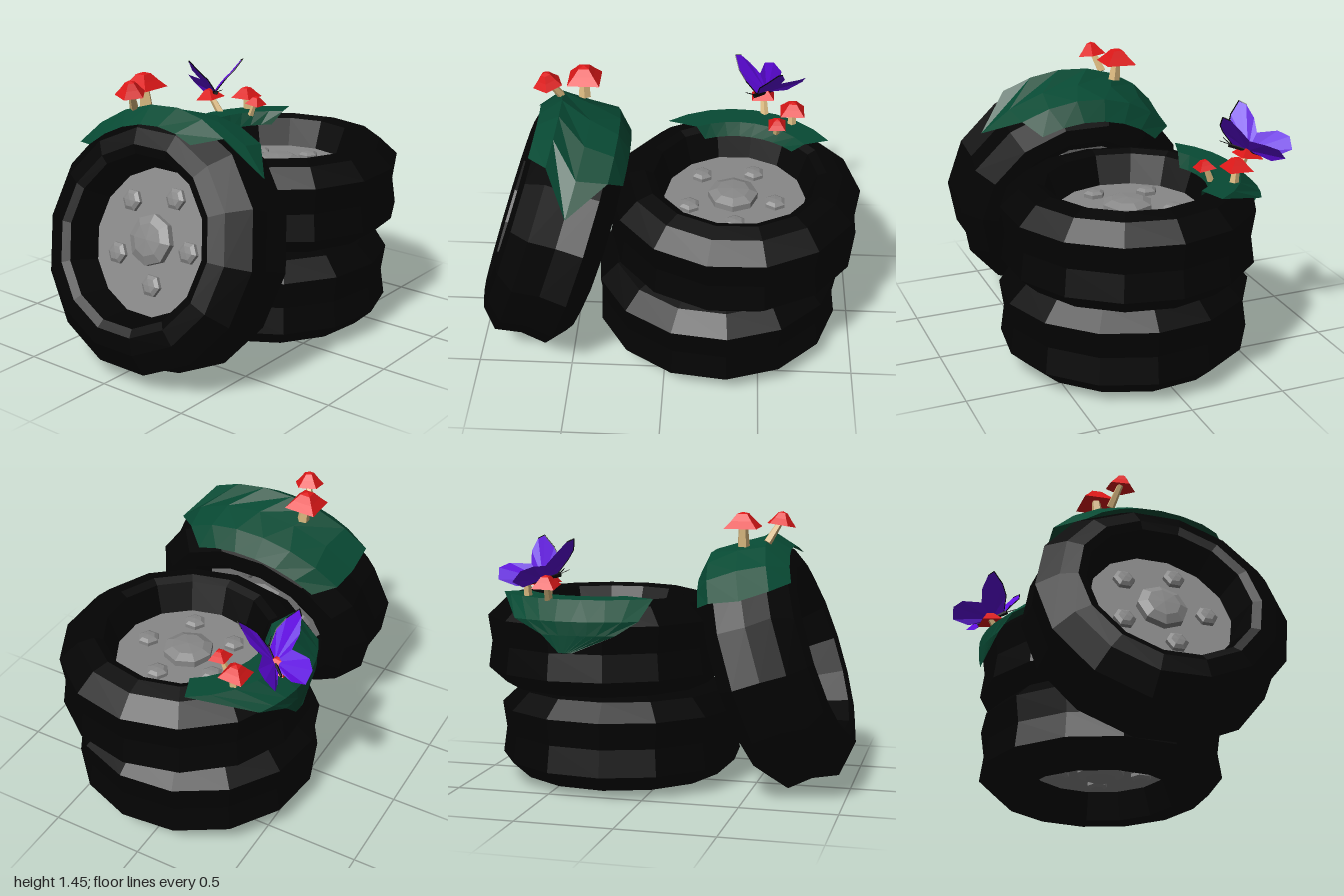
import * as THREE from 'three';

const mat = (name, color, side = THREE.FrontSide) =>
  new THREE.MeshStandardMaterial({ name, color, flatShading: true, side });
const rad = THREE.MathUtils.degToRad;
const V = (x, y, z) => new THREE.Vector3(x, y, z);

export function createModel() {
  const rubber = mat('rubber black', 0x030303);
  const metal = mat('rim grey', 0x888888);
  const moss = mat('moss green', 0x084a34, THREE.DoubleSide);
  const red = mat('cap red', 0xde1818, THREE.DoubleSide);
  const cream = mat('stem cream', 0xdcba80);
  const purple = mat('wing purple', 0x5f09de, THREE.DoubleSide);

  const root = new THREE.Group();
  root.name = 'tyrePile';

  function add(parent, name, geometry, material) {
    const m = new THREE.Mesh(geometry, material);
    m.name = name;
    parent.add(m);
    return m;
  }
  // Tapered rod between two points
  function rod(parent, name, a, b, ra, rb, sides, material) {
    const d = b.clone().sub(a);
    const m = add(parent, name, new THREE.CylinderGeometry(rb, ra, d.length(), sides), material);
    m.position.copy(a).addScaledVector(d, 0.5);
    m.quaternion.setFromUnitVectors(V(0, 1, 0), d.normalize());
  }

  // Tyre with a recessed rim, and a hub and five bolts on each face; its axle is local y
  const half = [[0.632, 0], [0.652, 0.14], [0.555, 0.23], [0.47, 0.252], [0.425, 0.235], [0.365, 0.07]];
  const section = [
    ...half.slice(1).reverse().map(([r, h]) => new THREE.Vector2(r, -h)),
    ...half.map(([r, h]) => new THREE.Vector2(r, h)),
  ];
  function tyre(name, x, y, z, turn) {
    const g = new THREE.Group();
    g.name = name;
    g.position.set(x, y, z);
    add(g, 'tyre', new THREE.LatheGeometry(section, 14), rubber).rotation.y = turn;
    add(g, 'rim', new THREE.CylinderGeometry(0.38, 0.38, 0.17, 14), metal).rotation.y = turn;
    for (const s of [1, -1]) {
      const face = new THREE.Group();
      face.name = 'rimFace';
      if (s < 0) face.rotation.x = Math.PI;
      g.add(face);
      // Domed nut: a short drum with a bevelled top
      const nut = (label, r, h, sides, px, pz) => {
        const pts = [[r, 0], [r, h * 0.55], [r * 0.65, h * 0.9], [0, h]].map(p => new THREE.Vector2(...p));
        add(face, label, new THREE.LatheGeometry(pts, sides), metal).position.set(px, 0.085, pz);
      };
      nut('hub', 0.13, 0.06, 8, -0.01, 0);
      for (let i = 0; i < 5; i++) {
        const a = i * Math.PI * 0.4 + 0.1;
        nut('bolt', 0.057, 0.035, 6, 0.235 * Math.sin(a) - 0.02, s * 0.235 * Math.cos(a));
      }
    }
    root.add(g);
    return g;
  }
  tyre('lowerTyre', 0.265, 0.268, 0.06, 0.1);
  const upper = tyre('upperTyre', 0.347, 0.75, 0.07, 0.25);
  const leaning = tyre('leaningTyre', -0.612, 0.65, 0.07, 0);
  leaning.rotation.z = -rad(108.5);

  // Moss sheet: each row is radius, height, start angle and end angle around the axle
  function mossSheet(parent, name, rows, columns) {
    const pos = [], index = [], w = columns + 1;
    rows.forEach(([r, h, a, b], j) => {
      for (let i = 0; i < w; i++) {
        const t = rad(a + ((b - a) * i) / columns);
        pos.push(r * Math.sin(t), h, r * Math.cos(t));
        if (j && i) {
          const k = j * w + i;
          index.push(k - w - 1, k - 1, k, k - w - 1, k, k - w);
        }
      }
    });
    // Rows may run up or down the tread, so flip those that start at the top
    if (rows[0][1] > rows[rows.length - 1][1]) index.reverse();
    const geo = new THREE.BufferGeometry();
    geo.setAttribute('position', new THREE.Float32BufferAttribute(pos, 3));
    geo.setIndex(index);
    geo.computeVertexNormals();
    add(parent, name, geo, moss);
  }
  mossSheet(leaning, 'leaningMoss', [
    [0.565, -0.25, 226, 295], [0.674, -0.16, 217, 302],
    [0.67, 0, 217, 321], [0.676, 0.155, 220, 301], [0.59, 0.242, 226, 296],
  ], 6);
  mossSheet(upper, 'upperMoss', [
    [0.4, 0.2, 205, 132], [0.43, 0.272, 210, 123], [0.565, 0.268, 221, 120],
    [0.67, 0.17, 210, 152], [0.668, 0.1, 200, 167], [0.662, 0.01, 181, 175],
  ], 8);

  // Mushrooms: stem base, cap centre, cap radius, cap height, cap sides
  const mushrooms = [
    [V(-0.57, 1.3, -0.15), V(-0.63, 1.385, -0.115), 0.08, 0.072, 5],
    [V(-0.45, 1.28, -0.175), V(-0.45, 1.375, -0.19), 0.118, 0.08, 4],
    [V(0.645, 1.01, -0.37), V(0.645, 1.085, -0.382), 0.09, 0.062, 4],
    [V(0.56, 1.01, -0.285), V(0.56, 1.08, -0.25), 0.064, 0.045, 4],
    [V(0.5, 1.0, -0.455), V(0.488, 1.085, -0.525), 0.085, 0.06, 4],
  ];
  for (const [base, top, r, h, sides] of mushrooms) {
    const g = new THREE.Group();
    g.name = 'mushroom';
    root.add(g);
    rod(g, 'stem', base, top.clone().add(V(0, 0.02, 0)), r * 0.28, r * 0.2, 5, cream);
    const pts = [[0, 0.3], [1, 0], [0.62, 0.46], [0.32, 0.88], [0, 1]]
      .map(([a, b]) => new THREE.Vector2(a * r, b * h));
    const cap = add(g, 'cap', new THREE.LatheGeometry(pts, sides), red);
    cap.position.copy(top);
    const lean = top.clone().sub(base).normalize().lerp(V(0, 1, 0), 0.75).normalize();
    cap.quaternion.setFromUnitVectors(V(0, 1, 0), lean);
    cap.rotateY(sides === 4 ? Math.PI / 4 : 0);
  }

  // Butterfly: local z runs to the tail, x out to each wing
  const fly = new THREE.Group();
  fly.name = 'butterfly';
  fly.position.set(0.5, 1.12, -0.51);
  fly.rotation.y = rad(138);
  root.add(fly);
  const outline = [
    [0, 0.02, -0.07], [0.05, 0.1, -0.11], [0.1, 0.15, -0.112], [0.155, 0.21, -0.085],
    [0.15, 0.195, -0.045], [0.125, 0.135, 0.005], [0.075, 0.075, 0.035], [0.127, 0.08, 0.13],
    [0.117, 0.06, 0.195], [0.075, 0.005, 0.22], [0.035, -0.03, 0.14], [0, -0.015, 0.06],
  ];
  for (const s of [1, -1]) {
    const pos = [0, 0, 0.01], index = [];
    outline.forEach(([x, y, z], i) => {
      pos.push(s * x, y, z);
      if (i) index.push(0, s > 0 ? i : i + 1, s > 0 ? i + 1 : i);
    });
    const geo = new THREE.BufferGeometry();
    geo.setAttribute('position', new THREE.Float32BufferAttribute(pos, 3));
    geo.setIndex(index);
    geo.computeVertexNormals();
    add(fly, s > 0 ? 'wingA' : 'wingB', geo, purple);
    // Dark leading edge of the front wing
    for (let i = 0; i < 4; i++) {
      const [a, b] = [outline[i], outline[i + 1]].map(([x, y, z]) => V(s * x, y, z));
      rod(fly, 'wingEdge', a, b, 0.003, 0.003, 4, rubber);
    }
    rod(fly, 'antenna', V(0, 0.02, -0.08), V(s * 0.03, 0.045, -0.13), 0.003, 0.002, 4, rubber);
  }
  rod(fly, 'body', V(0, 0.02, -0.09), V(0, -0.02, 0.1), 0.013, 0.006, 6, rubber);

  return root;
}
